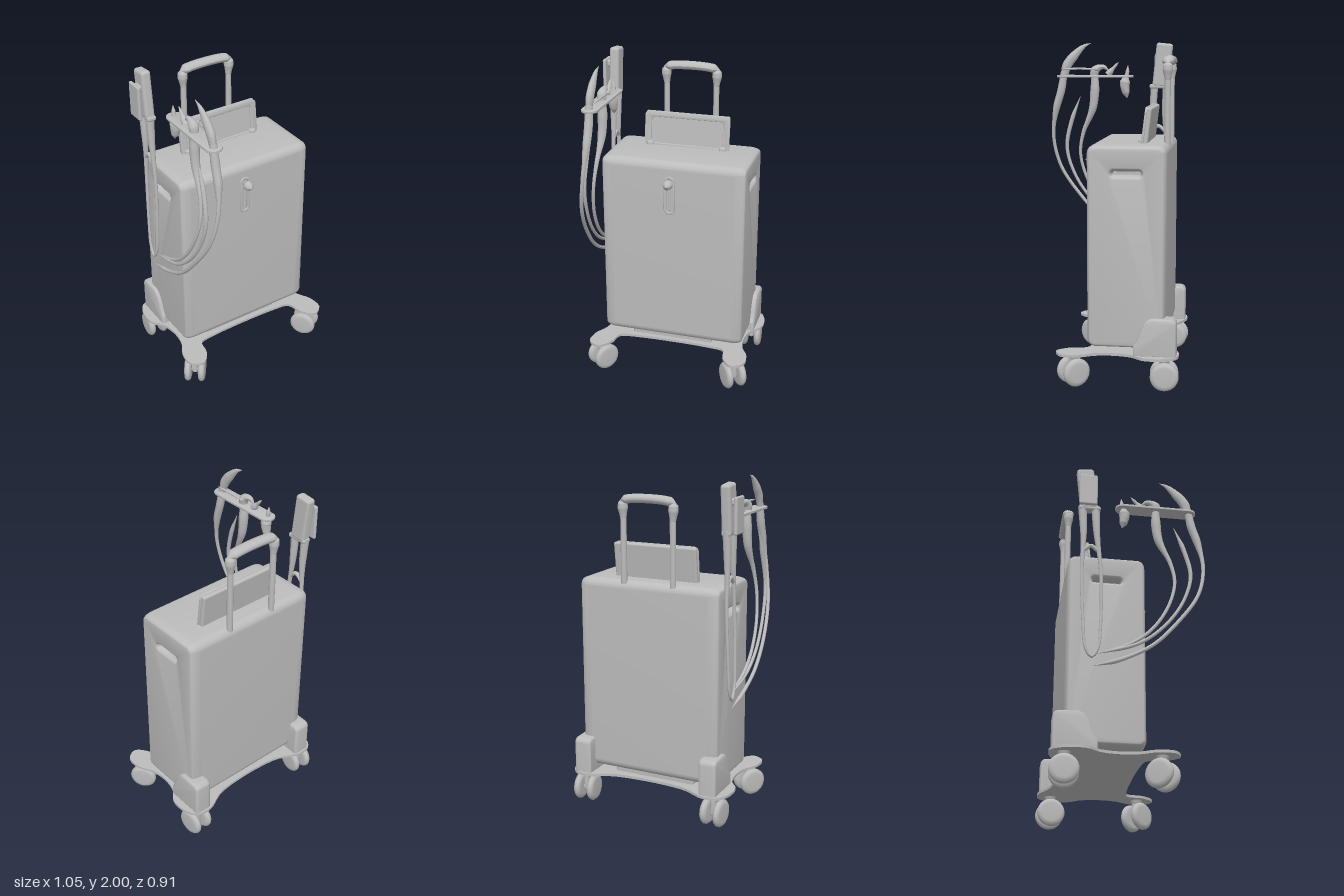
import * as THREE from 'three';
import { toCreasedNormals } from 'three/addons/utils/BufferGeometryUtils.js';
import { RoundedBoxGeometry } from 'three/addons/geometries/RoundedBoxGeometry.js';

const V = (x, y, z) => new THREE.Vector3(x, y, z);

export function createModel() {
  const root = new THREE.Group();
  const grey = new THREE.MeshStandardMaterial({ color: 0xbcbcbc });
  grey.name = 'plain grey';

  function add(name, geo, x = 0, y = 0, z = 0, parent = root) {
    const m = new THREE.Mesh(geo, grey);
    m.name = name;
    m.position.set(x, y, z);
    parent.add(m);
    return m;
  }
  const rbox = (w, h, d, r) => new RoundedBoxGeometry(w, h, d, 4, r);

  // rounded rectangle centred on (cx, cy)
  function roundRect(cx, cy, w, h, r, C = THREE.Shape) {
    const s = new C(), x = w / 2 - r, y = h / 2 - r;
    s.absarc(cx + x, cy + y, r, 0, Math.PI / 2);
    s.absarc(cx - x, cy + y, r, Math.PI / 2, Math.PI);
    s.absarc(cx - x, cy - y, r, Math.PI, Math.PI * 1.5);
    s.absarc(cx + x, cy - y, r, Math.PI * 1.5, Math.PI * 2);
    s.closePath();
    return s;
  }
  // extrusion with total depth d, centred along its axis
  function extrude(shape, d, bevel = 0, thick = bevel, seg = 5) {
    const g = new THREE.ExtrudeGeometry(shape, {
      depth: d - 2 * thick, bevelEnabled: bevel > 0, bevelSize: bevel,
      bevelThickness: thick, bevelSegments: seg, curveSegments: 10,
    });
    g.translate(0, 0, -(d - 2 * thick) / 2);
    return toCreasedNormals(g, 0.6);
  }
  const sideways = (g) => g.rotateY(-Math.PI / 2); // shape (z, y), depth along x
  const flat = (g) => g.rotateX(Math.PI / 2);      // shape (x, z), depth along y

  // tube whose radius follows a list of values along its length
  function taper(points, radii, n = 48, sides = 10) {
    const curve = new THREE.CatmullRomCurve3(points.map((p) => V(...p)));
    const g = new THREE.TubeGeometry(curve, n, 1, sides);
    const p = g.attributes.position, v = V(0, 0, 0);
    for (let i = 0; i <= n; i++) {
      const c = curve.getPointAt(i / n), f = (i / n) * (radii.length - 1);
      const k = Math.min(Math.floor(f), radii.length - 2);
      const r = THREE.MathUtils.lerp(radii[k], radii[k + 1], f - k);
      for (let j = 0; j <= sides; j++) {
        const q = i * (sides + 1) + j;
        v.fromBufferAttribute(p, q).sub(c).multiplyScalar(r).add(c);
        p.setXYZ(q, v.x, v.y, v.z);
      }
    }
    g.computeVertexNormals();
    return g;
  }

  // case with a grip slot in each side
  const profile = roundRect(-0.14, 0.83, 0.41, 1.13, 0.025);
  profile.holes.push(roundRect(-0.14, 1.26, 0.21, 0.068, 0.033, THREE.Path));
  add('case', sideways(extrude(profile, 0.89, 0.025, 0.065, 8)), 0.005);
  add('slotFloor', new THREE.BoxGeometry(0.78, 0.1, 0.25), 0.005, 1.26, -0.14);
  add('caseFoot', rbox(0.52, 0.06, 0.36, 0.012), -0.01, 0.225, -0.14);

  // front latch: rim, sliding bar and knob
  const rim = roundRect(-0.01, 1.21, 0.062, 0.24, 0.03);
  rim.holes.push(roundRect(-0.01, 1.21, 0.042, 0.215, 0.02, THREE.Path));
  add('latchRim', extrude(rim, 0.012, 0.003), 0, 0, 0.091);
  add('latchBar', rbox(0.016, 0.17, 0.014, 0.006), -0.01, 1.2, 0.092);
  add('latchKnob', taper([[-0.01, 1.29, 0.08], [-0.01, 1.292, 0.12], [-0.01, 1.29, 0.165]],
    [0.012, 0.014, 0.03, 0.026, 0.0005], 24, 14));

  // tilted screen with raised border
  const screen = new THREE.Group();
  screen.name = 'screen';
  screen.position.set(0.01, 1.51, -0.235);
  screen.rotation.x = -0.12;
  root.add(screen);
  add('screenPanel', rbox(0.53, 0.23, 0.03, 0.012), 0, 0, -0.006, screen);
  const border = roundRect(0, 0, 0.53, 0.225, 0.025);
  border.holes.push(roundRect(0, 0, 0.46, 0.17, 0.015, THREE.Path));
  add('screenBorder', extrude(border, 0.014, 0.004), 0, 0, 0.011, screen);
  for (const s of [-1, 1]) add('screenHinge', rbox(0.04, 0.06, 0.05, 0.012), s * 0.23, -0.1, 0.01, screen);

  // pull handle
  for (const s of [-1, 1]) {
    add('handlePost', new THREE.CylinderGeometry(0.018, 0.018, 0.47, 16), s * 0.157 + 0.003, 1.635, -0.35);
    add('handleCorner', taper([[s * 0.157 + 0.003, 1.78, -0.35], [s * 0.16 + 0.003, 1.85, -0.35], [s * 0.157 + 0.003, 1.895, -0.35]],
      [0.018, 0.023, 0.03, 0.028, 0.001], 16, 14));
  }
  const grip = add('handleGrip', taper([[-0.18, 0, 0], [-0.12, 0.014, 0], [0, 0.02, 0], [0.12, 0.014, 0], [0.18, 0, 0]],
    [0.001, 0.026, 0.026, 0.026, 0.026, 0.026, 0.026, 0.026, 0.026, 0.001], 36, 14), 0.003, 1.878, -0.35);
  grip.scale.z = 1.35;

  // base plate with four lobes
  const half = [[0.25, 0.08], [0.34, 0.1], [0.365, 0.2], [0.43, 0.27], [0.5, 0.23], [0.5, 0.13], [0.455, 0.04],
    [0.44, -0.06], [0.46, -0.17], [0.515, -0.25], [0.515, -0.36], [0.47, -0.435], [0.38, -0.445], [0.22, -0.378]];
  const ring = [...half, ...half.slice().reverse().map(([x, z]) => [-x, z])];
  const outline = new THREE.CatmullRomCurve3(ring.map(([x, z]) => V(x, z, 0)), true).getPoints(140);
  outline.pop();
  add('basePlate', flat(extrude(new THREE.Shape(outline.map((p) => new THREE.Vector2(p.x, p.y))), 0.016)), 0, 0.202, 0);

  // corner guards
  const guard = new THREE.Shape();
  guard.moveTo(-0.2, 0.215);
  guard.lineTo(-0.42, 0.215);
  guard.lineTo(-0.42, 0.39);
  guard.quadraticCurveTo(-0.42, 0.41, -0.4, 0.412);
  guard.lineTo(-0.3, 0.415);
  guard.bezierCurveTo(-0.24, 0.41, -0.23, 0.29, -0.2, 0.26);
  guard.closePath();
  for (const s of [-1, 1]) add('cornerGuard', sideways(extrude(guard, 0.11, 0.015, 0.02)), s * 0.415 + 0.008, 0, 0);

  // twin-wheel casters
  const wheelGeo = new THREE.LatheGeometry([[0, -0.022], [0.055, -0.022], [0.073, -0.018], [0.083, -0.006], [0.083, 0.006],
    [0.073, 0.018], [0.055, 0.022], [0, 0.022]].map((p) => new THREE.Vector2(...p)), 32).rotateZ(Math.PI / 2);
  for (const [x, z, turn] of [[-0.435, 0.17, -0.65], [0.425, 0.17, 0.65], [-0.43, -0.365, -0.08], [0.43, -0.365, 0.08]]) {
    const c = new THREE.Group();
    c.name = 'caster';
    c.position.set(x, 0, z);
    c.rotation.y = turn;
    root.add(c);
    for (const s of [-1, 1]) add('wheel', wheelGeo, s * 0.043, 0.09, 0, c);
    add('axle', new THREE.CylinderGeometry(0.018, 0.018, 0.09, 12).rotateZ(Math.PI / 2), 0, 0.09, 0, c);
    add('fork', rbox(0.034, 0.11, 0.06, 0.014), 0, 0.125, 0, c);
    add('swivel', new THREE.CylinderGeometry(0.04, 0.026, 0.04, 20), 0, 0.18, 0, c);
  }

  // instrument tray
  const tray = roundRect(-0.392, 0.163, 0.09, 0.49, 0.044);
  add('tray', flat(extrude(tray, 0.016, 0.004)), 0, 1.79, 0);
  // hanging instruments with their hoses
  add('frontHose', taper([[-0.395, 1.82, 0.365], [-0.395, 1.7, 0.385], [-0.4, 1.58, 0.42], [-0.42, 1.4, 0.443], [-0.45, 1.2, 0.4],
    [-0.475, 1, 0.27], [-0.48, 0.84, 0.12], [-0.475, 0.74, -0.06], [-0.472, 0.69, -0.22]],
    [0.022, 0.026, 0.024, 0.013, 0.011, 0.011, 0.011, 0.011, 0.011, 0.011, 0.011, 0.011, 0.013, 0.001], 80));
  add('middleHose', taper([[-0.43, 1.66, 0.265], [-0.435, 1.5, 0.325], [-0.445, 1.32, 0.358], [-0.455, 1.13, 0.3],
    [-0.465, 0.96, 0.18], [-0.465, 0.85, 0.04], [-0.462, 0.77, -0.2]],
    [0.001, 0.014, 0.013, 0.011, 0.01, 0.01, 0.01, 0.01, 0.01, 0.001], 70));
  add('rearHose', taper([[-0.392, 1.82, 0.165], [-0.392, 1.7, 0.165], [-0.395, 1.58, 0.18], [-0.41, 1.42, 0.245], [-0.425, 1.28, 0.265],
    [-0.445, 1.1, 0.215], [-0.455, 0.94, 0.11], [-0.457, 0.84, -0.02], [-0.455, 0.78, -0.18]],
    [0.02, 0.03, 0.026, 0.015, 0.011, 0.01, 0.01, 0.01, 0.01, 0.01, 0.01, 0.001], 70));
  // curved blade above the tray
  const blade = add('blade', taper([[0, 1.79, 0.365], [0, 1.86, 0.345], [0, 1.93, 0.29], [0, 1.98, 0.235], [0, 2, 0.19]],
    [0.024, 0.032, 0.03, 0.018, 0.001], 30), -0.395);
  blade.scale.x = 0.7;
  add('rod', taper([[-0.36, 1.835, 0.37], [-0.36, 1.838, 0.26], [-0.36, 1.835, 0.15]], [0.001, 0.007, 0.007, 0.007, 0.001], 20));
  add('rodEnd', new THREE.SphereGeometry(0.012, 12, 8), -0.36, 1.835, 0.15);
  add('instrumentTip', taper([[-0.392, 1.79, 0.17], [-0.392, 1.83, 0.16], [-0.392, 1.85, 0.11], [-0.392, 1.82, 0.07]],
    [0.026, 0.03, 0.02, 0.012, 0.001], 24));
  add('probe', taper([[-0.392, 1.8, 0.08], [-0.392, 1.835, 0.05], [-0.392, 1.88, 0.01]], [0.022, 0.02, 0.011, 0.009, 0.001], 20));
  add('nozzle', taper([[-0.395, 1.86, -0.05], [-0.395, 1.81, -0.045], [-0.395, 1.74, -0.03], [-0.395, 1.65, -0.045]],
    [0.001, 0.012, 0.014, 0.033, 0.03, 0.024, 0.001], 30));

  // upright holder beside the case
  const holder = add('holderBlock', rbox(0.06, 0.28, 0.105, 0.018), -0.455, 1.86, -0.268);
  holder.rotation.x = -0.1;
  add('holderCollar', rbox(0.055, 0.03, 0.13, 0.012), -0.455, 1.725, -0.25);
  add('handset', rbox(0.022, 0.21, 0.11, 0.01), -0.514, 1.825, -0.265);
  add('handsetLink', rbox(0.06, 0.04, 0.06, 0.012), -0.49, 1.9, -0.27);
  add('holderLoop', taper([[-0.457, 1.74, -0.295], [-0.458, 1.55, -0.285], [-0.46, 1.3, -0.292], [-0.47, 0.95, -0.28], [-0.473, 0.8, -0.265],
    [-0.473, 0.745, -0.23], [-0.473, 0.8, -0.195], [-0.47, 0.95, -0.18], [-0.46, 1.3, -0.18], [-0.458, 1.55, -0.205], [-0.457, 1.74, -0.215]],
    [0.026, 0.022, 0.014, 0.011, 0.01, 0.009, 0.009, 0.009, 0.009, 0.009, 0.01, 0.011, 0.014, 0.022, 0.026], 100));
  add('holderBridge', taper([[-0.459, 1.43, -0.29], [-0.459, 1.47, -0.24], [-0.459, 1.43, -0.19]], [0.011, 0.013, 0.011], 16));

  return root;
}
